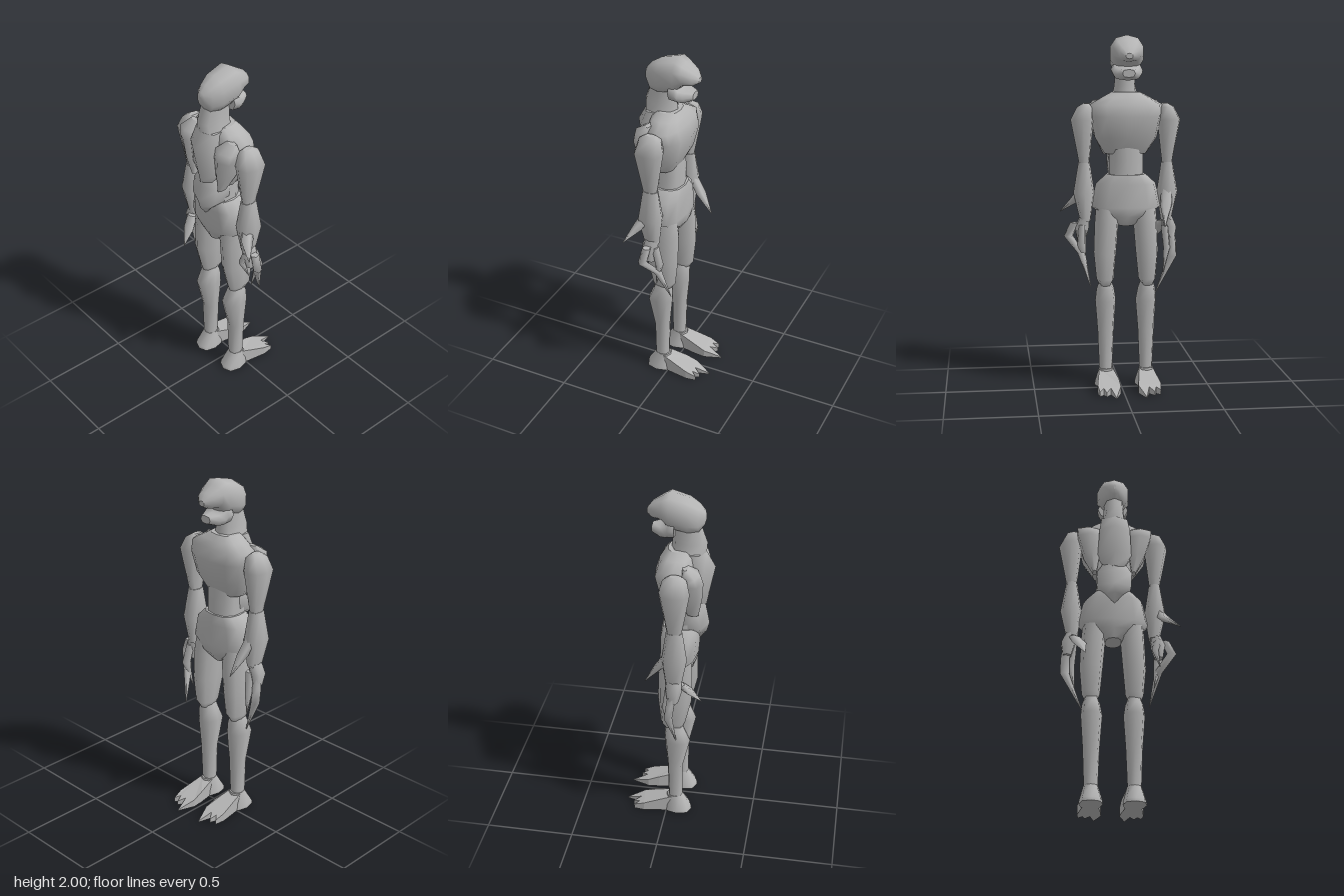
import * as THREE from 'three';

const CX = -0.03; // symmetry plane of the body

export function createModel() {
  const model = new THREE.Group();
  const grey = new THREE.MeshStandardMaterial({ color: 0xb4b4b4 });
  grey.name = 'grey';

  function add(parent, name, geo) {
    const m = new THREE.Mesh(geo, grey);
    m.name = name;
    parent.add(m);
  }

  // Loft through rings [x, y, z, rx, r2] stacked along y (r2 = rz) or z (r2 = ry)
  function loft(rings, n = 8, axis = 'y', power = 0.8) {
    const k = axis === 'y' ? 1 : 2;
    const list = [...rings].sort((a, b) => a[k] - b[k]);
    const pos = [], idx = [];
    const soft = (v) => Math.sign(v) * Math.pow(Math.abs(v) < 1e-9 ? 0 : Math.abs(v), power);
    const ring = ([x, y, z, rx, r2]) => {
      for (let i = 0; i < n; i++) {
        const a = Math.PI / 2 + (i / n) * Math.PI * 2;
        const c = soft(Math.cos(a)) * rx, s = soft(Math.sin(a)) * r2;
        if (axis === 'y') pos.push(x + c, y, z + s);
        else pos.push(x + c, y - s, z);
      }
    };
    list.forEach(ring);
    for (let j = 0; j < list.length - 1; j++) {
      for (let i = 0; i < n; i++) {
        const a = j * n + i, b = j * n + (i + 1) % n;
        idx.push(a, a + n, b, b, a + n, b + n);
      }
    }
    // Flat end caps on their own vertices
    [list[0], list[list.length - 1]].forEach((r, end) => {
      const base = pos.length / 3;
      ring(r);
      for (let i = 1; i < n - 1; i++) {
        if (end === 0) idx.push(base, base + i, base + i + 1);
        else idx.push(base, base + i + 1, base + i);
      }
    });
    const g = new THREE.BufferGeometry();
    g.setAttribute('position', new THREE.Float32BufferAttribute(pos, 3));
    g.setIndex(idx);
    g.computeVertexNormals();
    return g;
  }

  // Head, jaw and neck
  add(model, 'head', loft([
    [CX, 1.885, -0.122, 0.02, 0.015], [CX, 1.895, -0.095, 0.055, 0.042],
    [CX, 1.91, -0.04, 0.085, 0.062], [CX, 1.9, 0.0, 0.097, 0.1],
    [CX, 1.875, 0.1, 0.088, 0.098], [CX, 1.86, 0.155, 0.062, 0.078],
    [CX, 1.865, 0.185, 0.03, 0.04], [CX, 1.87, 0.192, 0.006, 0.015]], 10, 'z', 0.85));
  add(model, 'jaw', loft([
    [CX, 1.79, -0.095, 0.035, 0.022], [CX, 1.785, -0.05, 0.065, 0.035],
    [CX, 1.79, -0.02, 0.083, 0.038], [CX, 1.805, -0.005, 0.088, 0.05],
    [CX, 1.81, 0.03, 0.088, 0.052]], 8, 'z', 0.7));
  add(model, 'neck', loft([
    [CX, 1.82, 0.09, 0.055, 0.075], [CX, 1.72, 0.105, 0.06, 0.095],
    [CX, 1.65, 0.1, 0.075, 0.095]]));

  // Trunk
  add(model, 'chest', loft([
    [CX, 1.685, 0.055, 0.08, 0.065], [CX, 1.655, 0.05, 0.135, 0.085], [CX, 1.615, 0.042, 0.205, 0.1],
    [CX, 1.55, 0.04, 0.2, 0.118], [CX, 1.43, 0.05, 0.175, 0.1],
    [CX, 1.34, 0.075, 0.12, 0.08]], 12));
  add(model, 'waist', loft([
    [CX, 1.42, 0.07, 0.1, 0.09], [CX, 1.3, 0.07, 0.098, 0.1], [CX, 1.14, 0.07, 0.1, 0.1]], 10));
  add(model, 'spinePlate', loft([
    [CX, 1.67, 0.13, 0.085, 0.065], [CX, 1.58, 0.14, 0.1, 0.105],
    [CX, 1.43, 0.13, 0.11, 0.085], [CX, 1.35, 0.13, 0.06, 0.07]], 6, 'y', 1));
  add(model, 'lumbarPlate', loft([
    [CX, 1.38, 0.12, 0.07, 0.07], [CX, 1.32, 0.12, 0.11, 0.08], [CX, 1.23, 0.13, 0.105, 0.088],
    [CX, 1.18, 0.14, 0.05, 0.065], [CX, 1.13, 0.15, 0.006, 0.02]], 6));
  add(model, 'pelvis', loft([
    [CX, 1.225, 0.06, 0.11, 0.1], [CX, 1.17, 0.06, 0.17, 0.11], [CX, 1.04, 0.055, 0.2, 0.105],
    [CX, 0.99, 0.05, 0.12, 0.1], [CX, 0.935, 0.06, 0.045, 0.07]], 12));

  for (const s of [-1, 1]) {
    const side = s > 0 ? 'left' : 'right';
    // Mirrored loft: first ring value is the distance from the symmetry plane
    const mirrored = (rings, n) => loft(rings.map(([d, ...r]) => [CX + s * d, ...r]), n);

    add(model, side + 'ShoulderBlade', mirrored([
      [0.15, 1.638, 0.105, 0.035, 0.015], [0.148, 1.6, 0.13, 0.07, 0.055], [0.143, 1.55, 0.135, 0.07, 0.065],
      [0.128, 1.44, 0.13, 0.05, 0.062], [0.11, 1.33, 0.14, 0.012, 0.03]], 6));

    // Arm
    const arm = new THREE.Group();
    arm.name = side + 'Arm';
    model.add(arm);
    add(arm, 'upperArm', mirrored([
      [0.222, 1.622, 0.06, 0.016, 0.03], [0.23, 1.6, 0.06, 0.045, 0.065], [0.245, 1.53, 0.06, 0.066, 0.083],
      [0.237, 1.34, 0.06, 0.037, 0.05], [0.235, 1.26, 0.06, 0.025, 0.035]]));
    add(arm, 'forearm', mirrored([
      [0.235, 1.29, 0.06, 0.033, 0.045], [0.237, 1.12, 0.06, 0.06, 0.07],
      [0.23, 0.96, 0.055, 0.03, 0.045]]));
    add(arm, 'palm', mirrored([
      [0.235, 0.98, 0.055, 0.03, 0.045], [0.25, 0.92, 0.06, 0.042, 0.045],
      [0.255, 0.85, 0.055, 0.025, 0.03]], 6));

    // Leg
    const leg = new THREE.Group();
    leg.name = side + 'Leg';
    model.add(leg);
    add(leg, 'thigh', mirrored([
      [0.105, 1.04, 0.05, 0.065, 0.085], [0.11, 0.95, 0.045, 0.068, 0.095],
      [0.12, 0.78, 0.045, 0.064, 0.095], [0.12, 0.63, 0.035, 0.05, 0.07],
      [0.12, 0.59, 0.04, 0.03, 0.05]]));
    add(leg, 'shin', mirrored([
      [0.118, 0.61, 0.045, 0.035, 0.045], [0.118, 0.57, 0.045, 0.05, 0.057],
      [0.116, 0.5, 0.06, 0.059, 0.073], [0.116, 0.32, 0.048, 0.046, 0.044],
      [0.116, 0.09, 0.05, 0.037, 0.04]]));
    add(leg, 'heel', mirrored([
      [0.116, 0.105, 0.045, 0.04, 0.045], [0.116, 0.02, 0.065, 0.062, 0.078],
      [0.116, 0, 0.065, 0.064, 0.08]]));

    // Clawed toes, sloping down from the ankle
    const outline = [[0.075, 0.03], [0.055, -0.08], [0.05, -0.145], [0.085, -0.245], [0.108, -0.158],
      [0.135, -0.2], [0.148, -0.16], [0.172, -0.19], [0.18, -0.13], [0.155, 0.03]];
    const toes = new THREE.ExtrudeGeometry(
      new THREE.Shape(outline.map(([d, z]) => new THREE.Vector2(CX + s * d, -z))),
      { depth: 1, bevelEnabled: false });
    toes.rotateX(-Math.PI / 2);
    const p = toes.attributes.position;
    for (let i = 0; i < p.count; i++) {
      const top = Math.max(0.006, 0.1 + Math.min(0, p.getZ(i)) * 0.38);
      p.setY(i, p.getY(i) > 0.5 ? top : 0);
    }
    toes.computeVertexNormals();
    add(leg, 'toes', toes);
  }

  // Forearm spikes and curved finger claws, each arm turned differently
  const claws = {
    leftSpike: [[0.21, 1.15, 0.07, 0.02, 0.035], [0.25, 1.07, 0.11, 0.038, 0.035], [0.335, 1.0, 0.165, 0.003, 0.003]],
    leftLongClaw: [[0.26, 0.95, 0.06, 0.025, 0.025], [0.295, 0.87, 0.07, 0.028, 0.025],
      [0.225, 0.78, 0.01, 0.024, 0.024], [0.18, 0.6, -0.05, 0.002, 0.002]],
    leftMiddleClaw: [[0.22, 0.94, 0.03, 0.022, 0.025], [0.225, 0.83, 0.0, 0.026, 0.024], [0.2, 0.68, 0.03, 0.002, 0.002]],
    leftThumb: [[0.22, 0.95, 0.08, 0.022, 0.025], [0.2, 0.88, 0.1, 0.02, 0.02], [0.23, 0.79, 0.075, 0.002, 0.002]],
    rightSpike: [[-0.26, 1.15, 0.03, 0.035, 0.025], [-0.25, 1.05, -0.03, 0.035, 0.03], [-0.232, 0.94, -0.108, 0.003, 0.003]],
    rightLongClaw: [[-0.28, 0.94, 0.06, 0.025, 0.03], [-0.295, 0.83, 0.04, 0.026, 0.025],
      [-0.295, 0.75, 0.03, 0.027, 0.024], [-0.2, 0.53, 0.06, 0.002, 0.002]],
    rightMiddleClaw: [[-0.25, 0.93, 0.03, 0.022, 0.025], [-0.26, 0.8, 0.01, 0.02, 0.02], [-0.24, 0.66, 0.02, 0.002, 0.002]],
    rightThumb: [[-0.25, 0.95, 0.09, 0.03, 0.025], [-0.22, 0.89, 0.14, 0.04, 0.02], [-0.19, 0.81, 0.2, 0.002, 0.002]],
  };
  for (const [name, rings] of Object.entries(claws)) add(model, name, loft(rings, 5, 'y', 1));

  return model;
}
